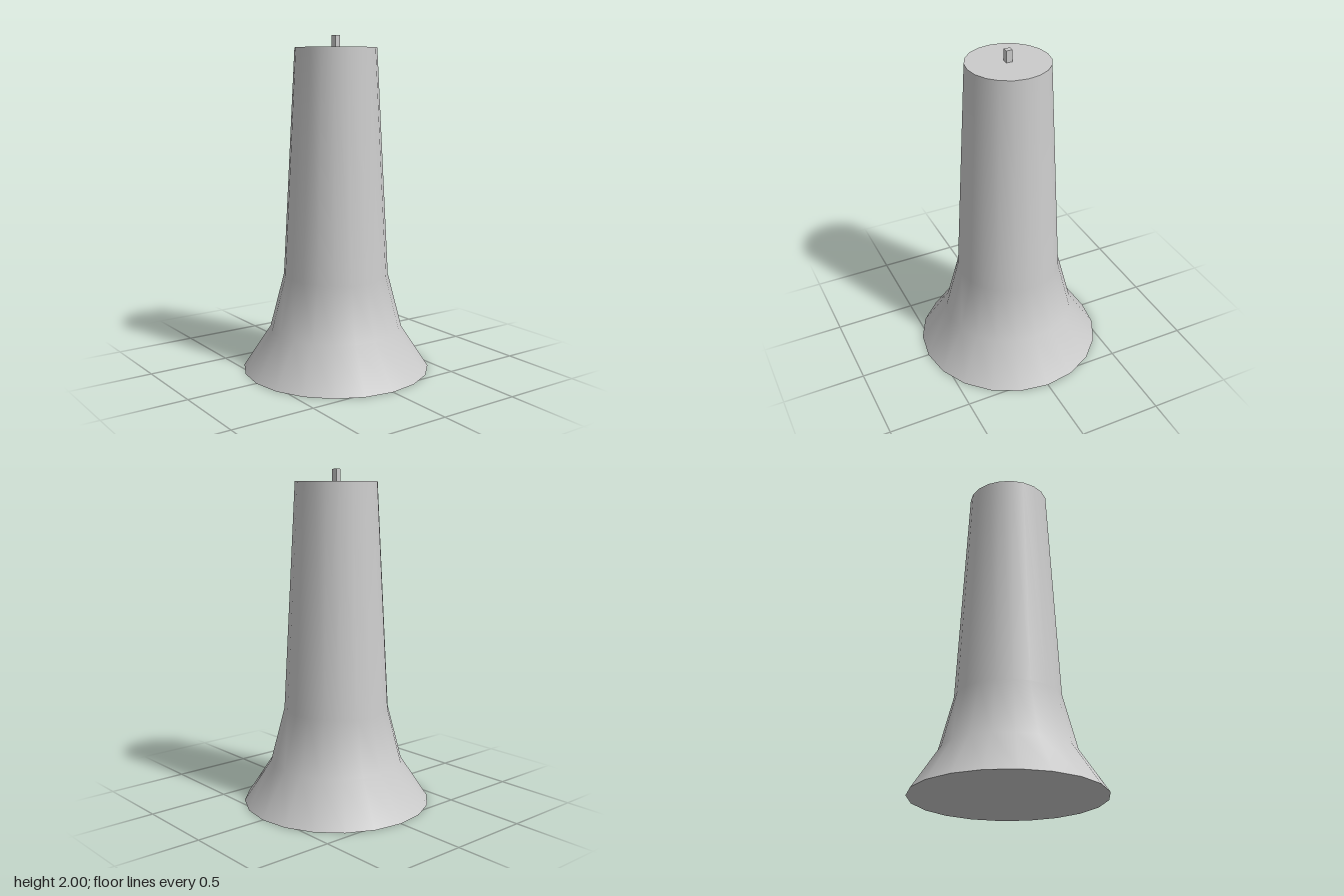
import * as THREE from 'three';

const SIDES = 20;
const TOP = 1.93;

export function createModel() {
  const model = new THREE.Group();
  const material = new THREE.MeshStandardMaterial({ color: 0xcccccc });
  const add = (name, geometry, y, tilt = 0) => {
    const mesh = new THREE.Mesh(geometry, material);
    mesh.name = name;
    mesh.position.y = y;
    mesh.rotation.x = tilt;
    model.add(mesh);
  };

  // Flared, tapering wall, smooth shaded: [radius, height] from the foot up
  const profile = [[0.565, 0], [0.4, 0.25], [0.315, 0.58], [0.242, TOP]]
    .map(([r, y]) => new THREE.Vector2(r, y));
  add('body', new THREE.LatheGeometry(profile, SIDES), 0);

  // Flat discs closing both ends
  add('topCap', new THREE.CircleGeometry(0.242, SIDES), TOP, -Math.PI / 2);
  add('bottomCap', new THREE.CircleGeometry(0.565, SIDES), 0, Math.PI / 2);

  // Small square wick, set slightly into the top
  add('wick', new THREE.BoxGeometry(0.038, 0.08, 0.033), 1.96);

  return model;
}
